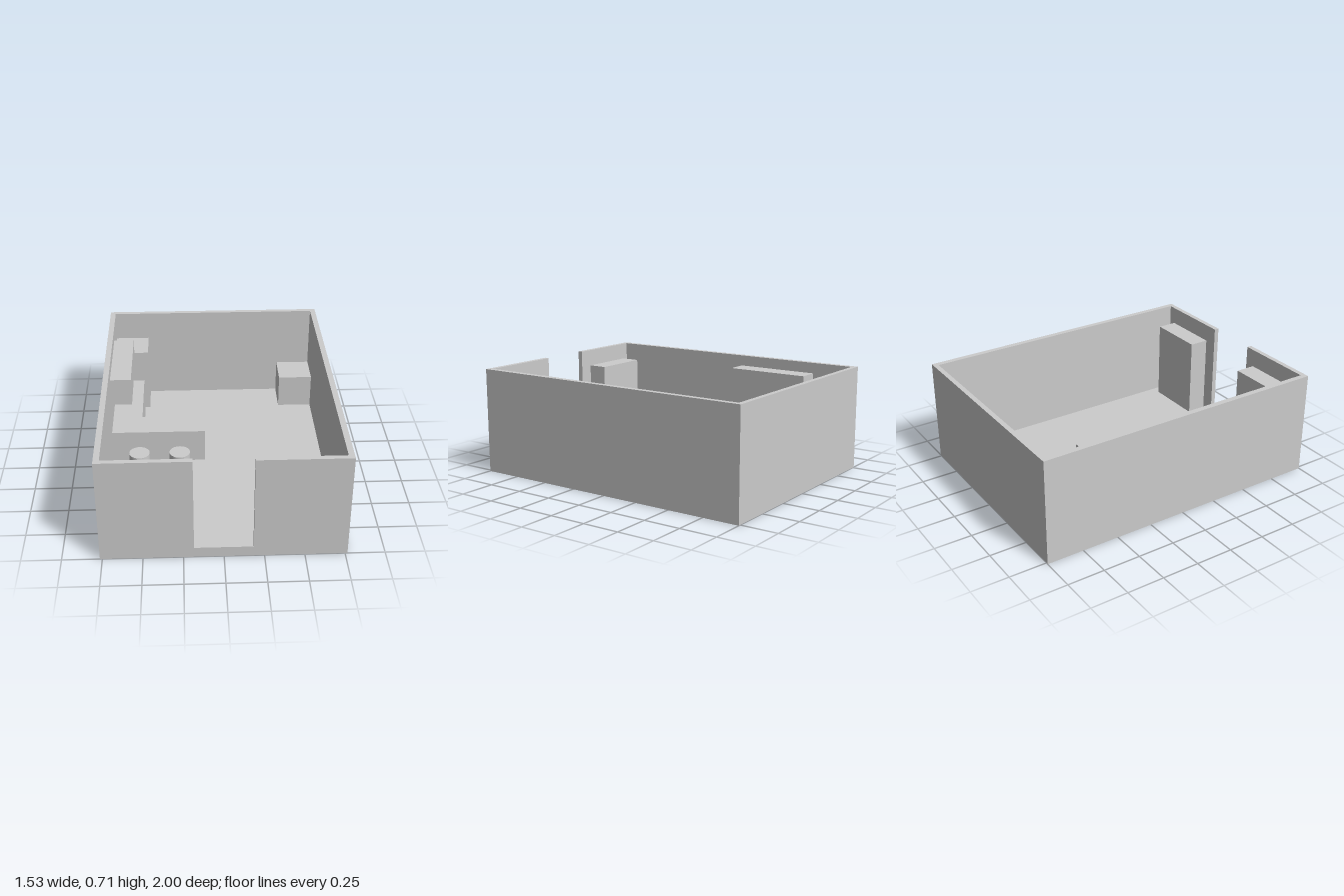
import * as THREE from 'three';

const W = 0.765, D = 1, H = 0.71;      // outer half width, half depth, wall height
const IX = 0.728, IZ = 0.967;          // inner faces of the walls
const FLOOR = 0.04, SILL = 0.07;
const DOOR_L = -0.185, DOOR_R = 0.182;

const material = new THREE.MeshStandardMaterial({ color: 0xcccccc, flatShading: true });
const smooth = new THREE.MeshStandardMaterial({ color: 0xcccccc });

export function createModel() {
  const room = new THREE.Group();
  room.name = 'room';

  const add = (name, geometry, mat = material) => {
    const mesh = new THREE.Mesh(geometry, mat);
    mesh.name = name;
    room.add(mesh);
    return mesh;
  };

  // Box given by its limits on each axis
  const block = (name, x0, x1, y0, y1, z0, z1) =>
    add(name, new THREE.BoxGeometry(x1 - x0, y1 - y0, z1 - z0))
      .position.set((x0 + x1) / 2, (y0 + y1) / 2, (z0 + z1) / 2);

  // Floor plan of [x, z] points raised from y0 to y1
  const raisePlan = (name, points, y0, y1, hole) => {
    const toVectors = (list) => list.map(([x, z]) => new THREE.Vector2(x, -z));
    const shape = new THREE.Shape(toVectors(points));
    if (hole) shape.holes.push(new THREE.Path(toVectors(hole)));
    const geometry = new THREE.ExtrudeGeometry(shape, { depth: y1 - y0, bevelEnabled: false });
    geometry.rotateX(-Math.PI / 2);
    add(name, geometry).position.y = y0;
  };

  // Shell: floor slab, closed base of the walls, then walls broken by the doorway
  block('floor', -W, W, 0, FLOOR, -D, D);
  raisePlan('wallBase', [[-W, D], [W, D], [W, -D], [-W, -D]], FLOOR, SILL,
    [[-IX, IZ], [-IX, -IZ], [IX, -IZ], [IX, IZ]]);
  raisePlan('walls', [
    [DOOR_R, D], [W, D], [W, -D], [-W, -D], [-W, D], [DOOR_L, D],
    [DOOR_L, IZ], [-IX, IZ], [-IX, -IZ], [IX, -IZ], [IX, IZ], [DOOR_R, IZ],
  ], SILL, H);

  // L-shaped counter along the right wall
  raisePlan('counter', [
    [-IX, 0], [-0.09, 0], [-0.09, -0.2], [-0.525, -0.2], [-0.525, -0.723], [-IX, -0.723],
  ], FLOOR, 0.277);

  // Tall and low cabinets in the back corners
  block('tallCabinet', -IX, -0.49, FLOOR, 0.508, -IZ, -0.727);
  block('cornerCabinet', 0.487, IX, FLOOR, 0.28, -0.96, -0.72);

  // Row of wall cupboards over the counter
  for (let i = 0; i < 4; i++) {
    const z = -0.1 - i * 0.145;
    block('wallCupboard' + (i + 1), -IX, -0.587, 0.444, 0.636, z - 0.145, z);
  }

  // Bookcases on both sides of the doorway
  block('rightBookcase', -0.672, -0.268, FLOOR, 0.597, 0.82, 0.955);
  block('leftBookcase', 0.26, 0.662, FLOOR, 0.597, 0.82, 0.955);

  // Round stools in front of the counter
  for (const x of [-0.541, -0.266]) {
    add('stool', new THREE.CylinderGeometry(0.07, 0.07, 0.143, 32), smooth)
      .position.set(x, FLOOR + 0.0715, 0.11);
  }

  return room;
}
